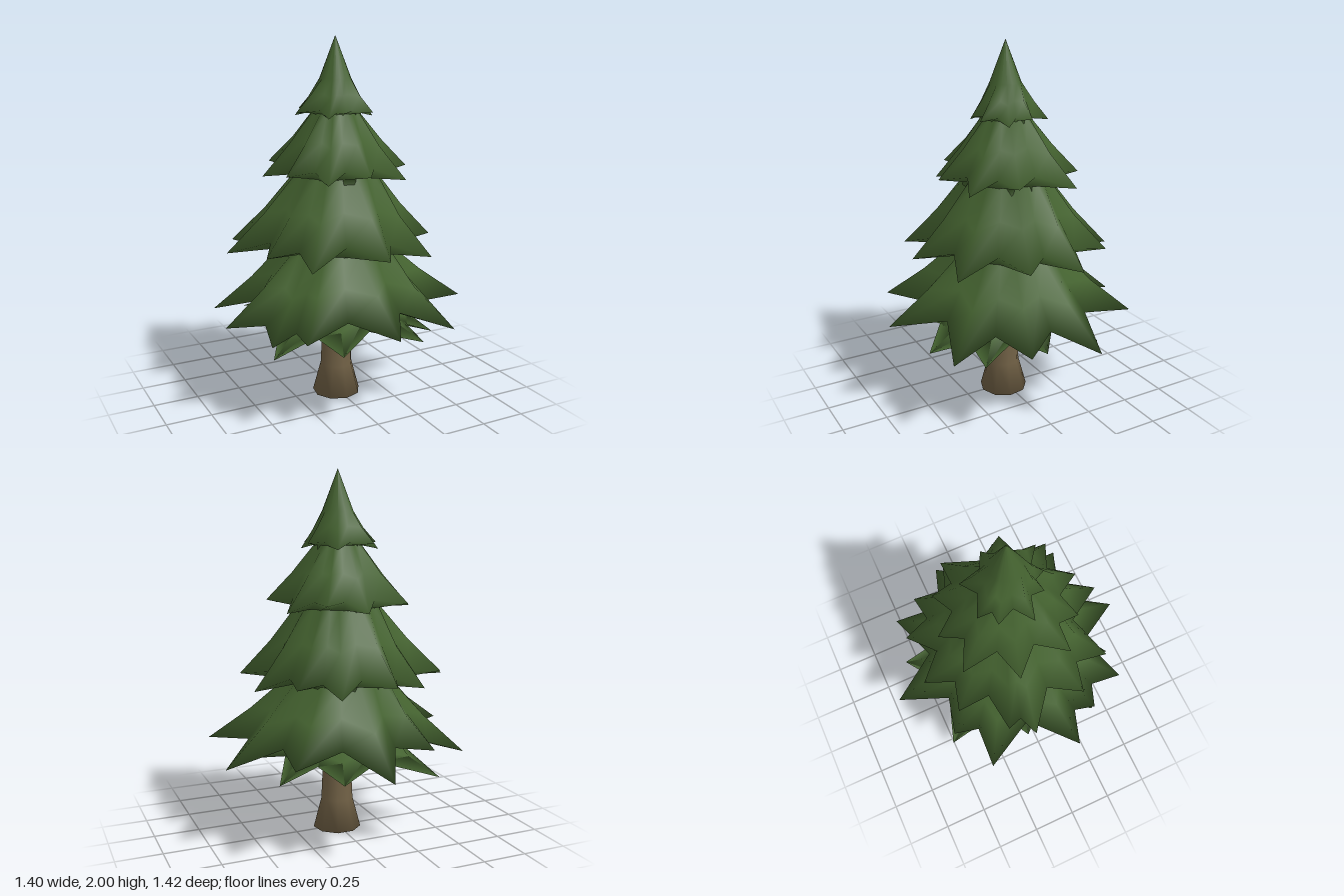
import * as THREE from 'three';

const green = new THREE.MeshStandardMaterial({ color: 0x43612f });
green.name = 'needleGreen';
const brown = new THREE.MeshStandardMaterial({ color: 0x6f5f44 });
brown.name = 'barkBrown';

// Hem of a branch tier: tips alternately high and low, with a raised notch
// between each pair that is deeper where the gap is wider
function makeHem({ angles, reach, hemY, sway }) {
  const n = angles.length;
  return angles.flatMap((deg, i) => {
    const next = (i + 1) % n;
    const a = THREE.MathUtils.degToRad(deg);
    const gap = THREE.MathUtils.degToRad((angles[next] - deg + 360) % 360);
    const mean = (reach[i] + reach[next]) / 2;
    const r = mean * Math.max(0.66, 1 - 0.49 * gap);
    return [
      { a, r: reach[i], y: hemY + (i % 2 ? -sway : sway) },
      { a: a + gap / 2, r, y: hemY + (mean - r) * 0.3 },
    ];
  });
}

// Smooth skin through closed rings of {a, r, y}, listed from the inside bottom up
function skin(rings) {
  const n = rings[0].length;
  const positions = rings.flat().flatMap(({ a, r, y }) => [Math.sin(a) * r, y, Math.cos(a) * r]);
  const index = [];
  for (let k = 0; k < rings.length - 1; k++)
    for (let i = 0; i < n; i++) {
      const a = k * n + i, b = k * n + (i + 1) % n;
      index.push(a, b, b + n, a, b + n, a + n);
    }
  const geometry = new THREE.BufferGeometry();
  geometry.setAttribute('position', new THREE.Float32BufferAttribute(positions, 3));
  geometry.setIndex(index);
  geometry.computeVertexNormals();
  return geometry;
}

function addMesh(parent, name, geometry, material) {
  const mesh = new THREE.Mesh(geometry, material);
  mesh.name = name;
  parent.add(mesh);
}

// One tier: underside and flared top in one smooth skin, seated on the tier below
function tierGeometry(spec, below) {
  const { neckR, neckY, topY } = spec;
  const hem = makeHem(spec);
  const ring = (r, y) => hem.map(({ a }) => ({ a, r, y }));
  const middle = hem.map(({ a, r, y }) => ({ a, r: (neckR + r) * 0.48, y: (neckY + y) / 2 }));
  const seat = below
    ? [ring(below.neckR + 0.02, below.neckY - 0.06), ring(below.neckR, below.neckY)]
    : [ring(0.05, 0.47)];
  const rings = [...seat, hem, middle, ring(neckR, neckY)];
  if (topY) rings.push(ring(0.001, topY));
  return skin(rings);
}

// Tip angles in degrees run from the front round towards +x; reach holds the tip radii
const tiers = [
  {
    name: 'crownTier', neckR: 0.085, neckY: 1.78, topY: 2, hemY: 1.595, sway: 0.015,
    angles: [28, 66, 105, 157, 210, 236, 279, 323, 351],
    reach: [0.24, 0.2, 0.2, 0.23, 0.24, 0.22, 0.25, 0.19, 0.19],
  },
  {
    name: 'upperTier', neckR: 0.13, neckY: 1.6, hemY: 1.285, sway: 0.02,
    angles: [0, 35, 71, 120, 149, 181, 215, 256, 297, 328],
    reach: [0.4, 0.42, 0.39, 0.43, 0.39, 0.39, 0.43, 0.4, 0.42, 0.38],
  },
  {
    name: 'middleTier', neckR: 0.23, neckY: 1.27, hemY: 0.885, sway: 0.02,
    angles: [2, 36, 74, 107, 136, 159, 190, 216, 247, 261, 295, 322],
    reach: [0.57, 0.57, 0.54, 0.56, 0.56, 0.57, 0.55, 0.53, 0.57, 0.61, 0.56, 0.58],
  },
  {
    name: 'lowerTier', neckR: 0.29, neckY: 0.87, hemY: 0.505, sway: 0.035,
    angles: [0, 39, 71, 104, 140, 180, 215, 239, 282, 303, 322],
    reach: [0.71, 0.7, 0.72, 0.72, 0.7, 0.71, 0.6, 0.7, 0.72, 0.63, 0.7],
  },
  {
    name: 'skirtTier', neckR: 0.3, neckY: 0.57, hemY: 0.425, sway: 0.025,
    angles: [21, 50, 85, 125, 160, 215, 260, 303, 337],
    reach: [0.62, 0.55, 0.53, 0.56, 0.62, 0.63, 0.52, 0.62, 0.62],
  },
];

export function createModel() {
  const tree = new THREE.Group();
  tree.name = 'pineTree';
  tiers.forEach((tier, i) => addMesh(tree, tier.name, tierGeometry(tier, tiers[i + 1]), green));

  // Trunk with a flared foot and closed base
  const profile = [[0, 0], [0.135, 0], [0.09, 0.17], [0.075, 0.5]].map(([x, y]) => new THREE.Vector2(x, y));
  addMesh(tree, 'trunk', new THREE.LatheGeometry(profile, 9).translate(0, 0, 0.015), brown);
  return tree;
}
